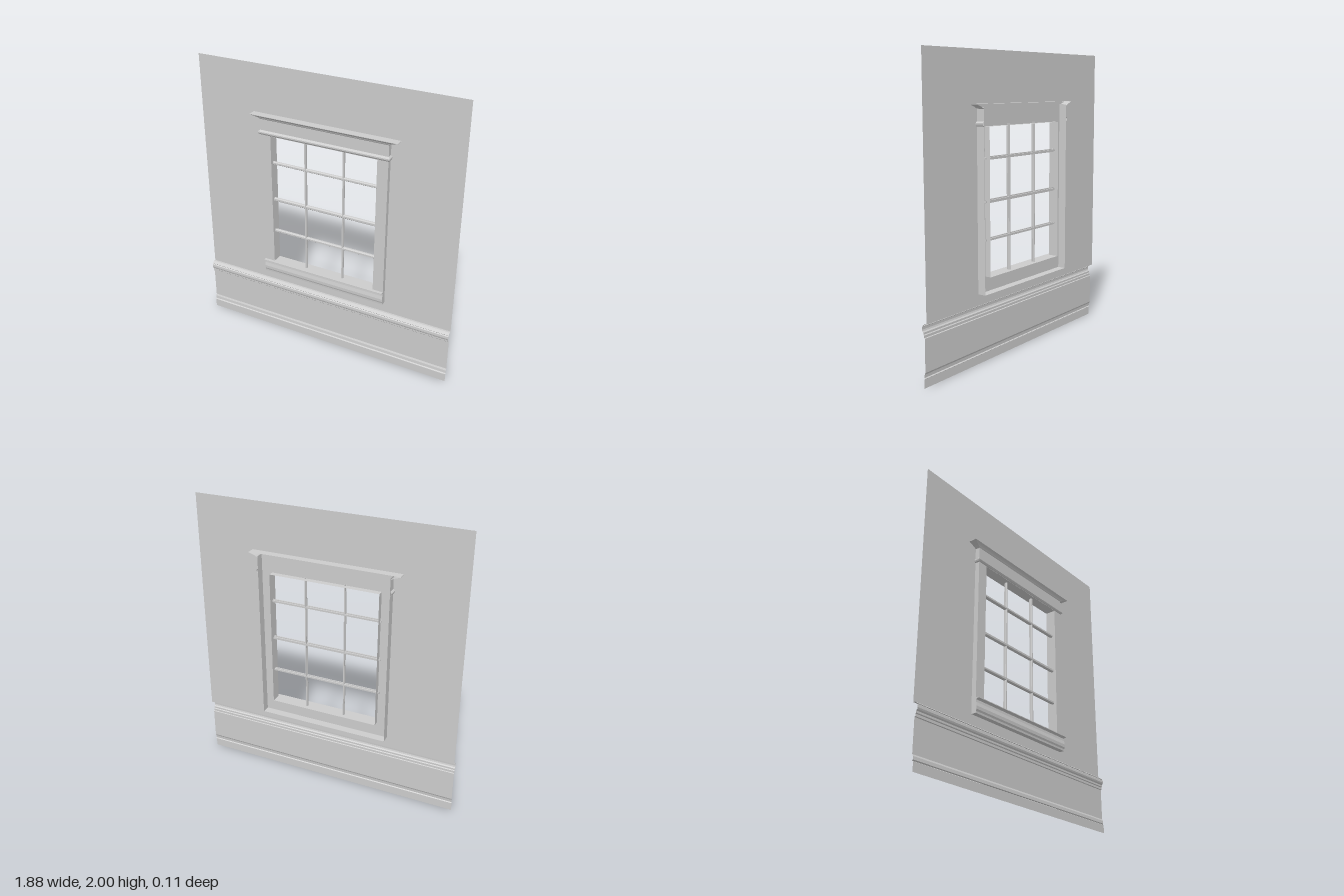
import * as THREE from 'three';

const material = new THREE.MeshStandardMaterial({ color: 0xcccccc, side: THREE.DoubleSide, flatShading: true });
const WALL = 0.94, OUT = 0.46, OPEN = 0.385;      // half widths
const BOTTOM = 0.475, SILL = 0.575, HEAD = 1.53, TOP = 1.67;
const FACE = 0.033, BACK = -0.056, JAMB_BACK = -0.04;

// Sheet through rows of points, each row having the same number of points
function loft(rows) {
  const pos = [];
  for (let i = 0; i + 1 < rows.length; i++) {
    for (let j = 0; j + 1 < rows[i].length; j++) {
      const a = rows[i][j], b = rows[i][j + 1], c = rows[i + 1][j + 1], d = rows[i + 1][j];
      pos.push(...a, ...b, ...c, ...a, ...c, ...d);
    }
  }
  const g = new THREE.BufferGeometry();
  g.setAttribute('position', new THREE.Float32BufferAttribute(pos, 3));
  g.computeVertexNormals();
  return g;
}

// Rectangle in x and y with a rectangular opening
function panel(x, y0, y1, z) {
  const s = new THREE.Shape();
  s.moveTo(-x, y0).lineTo(x, y0).lineTo(x, y1).lineTo(-x, y1).closePath();
  const h = new THREE.Path();
  h.moveTo(-OPEN, SILL).lineTo(-OPEN, HEAD).lineTo(OPEN, HEAD).lineTo(OPEN, SILL).closePath();
  s.holes.push(h);
  return new THREE.ShapeGeometry(s).translate(0, 0, z);
}

// Profile of [x offset, z offset, y] wrapped round both sides and the front
function wrap(profile) {
  return loft(profile.map(([ox, oz, y]) => [
    [-OUT - ox, y, BACK], [-OUT - ox, y, FACE + oz], [OUT + ox, y, FACE + oz], [OUT + ox, y, BACK]]));
}

// Bar along x with a stepped glazing profile
function bar(length, width, depth) {
  const w = width / 2, d = depth / 2, s = new THREE.Shape();
  const half = [[d, w * 0.5], [d * 0.4, w], [-d * 0.2, w], [-d * 0.2, w * 0.5], [-d, w * 0.5]];
  s.setFromPoints([...half, ...half.map(([a, b]) => [-(-a), -b]).reverse()]
    .map(([a, b]) => new THREE.Vector2(a, b)));
  const g = new THREE.ExtrudeGeometry(s, { depth: length, bevelEnabled: false });
  return g.translate(0, 0, -length / 2).rotateY(-Math.PI / 2);
}

export function createModel() {
  const group = new THREE.Group();
  const add = (name, geometry, parent = group) => {
    const mesh = new THREE.Mesh(geometry, material);
    mesh.name = name;
    parent.add(mesh);
    return mesh;
  };

  // Upper wall
  add('upperWall', panel(WALL, 0.4, 2, 0));

  // Wainscot sheet with baseboard and chair rail: [z, y]
  const sheet = (name, profile) =>
    add(name, loft(profile.map(([z, y]) => [[-WALL, y, z], [WALL, y, z]])));
  sheet('baseboard', [[0.026, 0], [0.026, 0.058], [0.018, 0.063], [0.024, 0.068],
    [0.022, 0.088], [0.016, 0.1]]);
  sheet('wainscot', [[0.016, 0.1], [0.016, 0.31]]);
  sheet('chairRail', [[0.016, 0.31], [0.022, 0.313], [0.022, 0.328], [0.027, 0.333], [0.027, 0.345],
    [0.034, 0.352], [0.037, 0.362], [0.036, 0.378], [0.03, 0.383], [0.033, 0.387],
    [0.022, 0.395], [0.014, 0.4], [0, 0.4]]);

  // Hollow window surround
  const frame = new THREE.Group();
  frame.name = 'windowFrame';
  group.add(frame);
  add('casingFace', panel(OUT, BOTTOM, 1.65, FACE), frame);
  const rim = [[-OUT, 1.65], [-OUT, BOTTOM], [OUT, BOTTOM], [OUT, 1.65]];
  add('casingSides', loft([FACE, BACK].map(z => rim.map(([x, y]) => [x, y, z]))), frame);
  const ring = [[-OPEN, SILL], [-OPEN, HEAD], [OPEN, HEAD], [OPEN, SILL], [-OPEN, SILL]];
  add('jambs', loft([FACE, JAMB_BACK].map(z => ring.map(([x, y]) => [x, y, z]))), frame);

  // Head bead and flared cornice
  add('headBead', wrap([[0, 0, 1.532], [0.007, 0.006, 1.536], [0.011, 0.012, 1.545],
    [0.011, 0.012, 1.554], [0.005, 0.005, 1.56], [0, 0, 1.564]]), frame);
  add('cornice', wrap([[0, 0, 1.64], [0.008, 0.004, 1.645], [0.02, 0.007, 1.652],
    [0.042, 0.014, 1.66], [0.065, 0.023, 1.667], [0.065, 0.023, TOP]]), frame);
  const cap = OUT + 0.065;
  add('corniceTop', loft([[[-cap, TOP, FACE + 0.023], [cap, TOP, FACE + 0.023]],
    [[-cap, TOP, BACK], [cap, TOP, BACK]]]), frame);

  // Sill lip and curved apron
  const apron = new THREE.Shape([[0.02, BOTTOM], [0.035, BOTTOM], [0.036, 0.488], [0.041, 0.5],
    [0.042, 0.52], [0.037, 0.545], [0.036, 0.562], [0.043, 0.567], [0.055, 0.57], [0.055, SILL], [0.02, SILL]]
    .map(([z, y]) => new THREE.Vector2(-z, y)));
  const apronGeometry = new THREE.ExtrudeGeometry(apron, { depth: OUT * 2, bevelEnabled: false });
  add('sillApron', apronGeometry.translate(0, 0, -OUT).rotateY(Math.PI / 2), frame);

  // Glazing bars, ends running just through the jambs
  const bars = new THREE.Group();
  bars.name = 'glazingBars';
  group.add(bars);
  for (const [y, width] of [[1.33, 0.022], [1.057, 0.026], [0.812, 0.022]]) {
    add('horizontalBar', bar(OPEN * 2 + 0.02, width, 0.026), bars).position.y = y;
  }
  for (const x of [-0.14, 0.14]) {
    const upright = bar(HEAD - SILL + 0.02, 0.014, 0.024).rotateZ(Math.PI / 2);
    add('verticalBar', upright, bars).position.set(x, (HEAD + SILL) / 2, 0);
  }
  return group;
}
